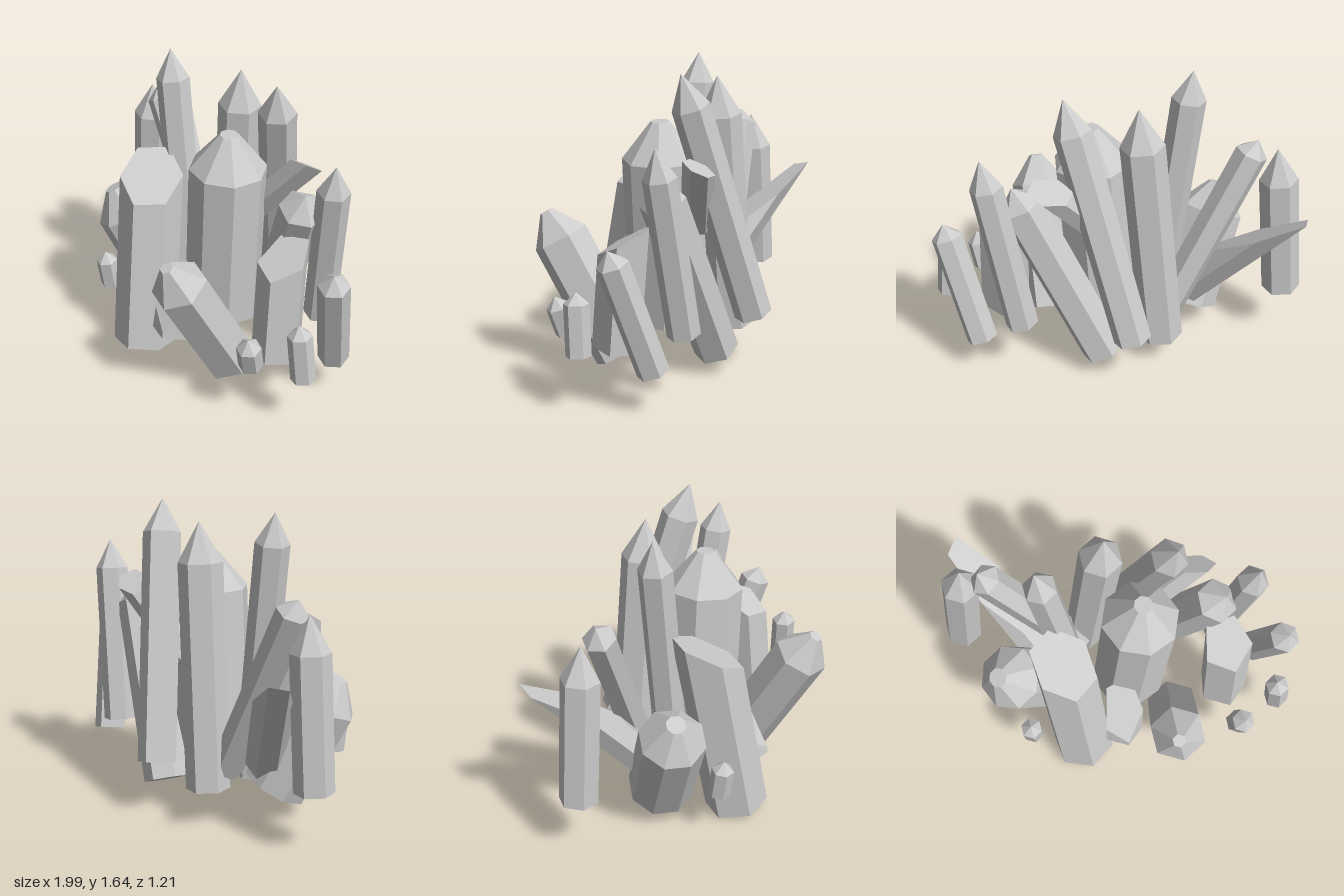
import * as THREE from 'three';

const UP = new THREE.Vector3(0, 1, 0);

// Turn that stands a crystal along its axis
const lean = (axis, spin) => new THREE.Quaternion()
  .setFromUnitVectors(UP, axis.clone().normalize())
  .multiply(new THREE.Quaternion().setFromAxisAngle(UP, spin));

// Prism shaft with a tapering tip; tip length and cap are proportions of the radius
function pointedGeometry(sides, r, length, tipRatio, capRatio) {
  const profile = [[0, 0], [r, 0], [r, length - r * tipRatio], [r * capRatio, length]];
  if (capRatio > 0) profile.push([0, length]);
  return new THREE.LatheGeometry(profile.map((p) => new THREE.Vector2(...p)), sides);
}

// Prism whose top corners slide along the axis onto a slanted plane
function cutGeometry(sides, r, length, n) {
  const geo = new THREE.CylinderGeometry(r, r, length, sides).translate(0, length / 2, 0);
  const p = geo.attributes.position;
  for (let i = 0; i < p.count; i++) {
    if (p.getY(i) > length / 2) p.setY(i, length - (n.x * p.getX(i) + n.z * p.getZ(i)) / n.y);
  }
  geo.computeVertexNormals();
  return geo;
}

export function createModel() {
  const group = new THREE.Group();
  group.name = 'crystalCluster';
  const material = new THREE.MeshStandardMaterial({ color: 0xcccccc, flatShading: true });

  const place = (name, geo, base, q) => {
    const mesh = new THREE.Mesh(geo, material);
    mesh.name = name;
    mesh.position.copy(base);
    mesh.quaternion.copy(q);
    group.add(mesh);
  };

  // Crystal from the centre of its base to its tip
  const pointed = (name, sides, r, from, to, tipRatio, capRatio) => {
    const base = new THREE.Vector3(...from);
    const axis = new THREE.Vector3(...to).sub(base);
    place(name, pointedGeometry(sides, r, axis.length(), tipRatio, capRatio), base, lean(axis, 0.25));
  };

  // Crystal ending in one slanted face, whose slope is given along x and z
  const cut = (name, sides, r, from, to, slopeX, slopeZ) => {
    const base = new THREE.Vector3(...from);
    const axis = new THREE.Vector3(...to).sub(base);
    const q = lean(axis, 0.35);
    const n = new THREE.Vector3(slopeX, 1, slopeZ).applyQuaternion(q.clone().invert());
    place(name, cutGeometry(sides, r, axis.length(), n), base, q);
  };

  // Thick crystals with a small flat cap
  pointed('centralCrystal', 8, 0.21, [0.06, 0.25, -0.047], [0.13, 1.35, -0.03], 0.95, 0.24);
  pointed('forwardCrystal', 6, 0.154, [0.325, 0.115, 0.12], [0.325, 0.86, 0.545], 1.05, 0.24);
  pointed('leftLeaningCrystal', 8, 0.18, [-0.41, 0.16, -0.05], [-0.65, 0.77, 0.165], 0.85, 0.3);

  // Slender crystals with sharp tips
  for (const [name, r, from, to] of [
    ['leftTallCrystal', 0.092, [-0.235, 0.18, -0.06], [-0.41, 1.64, -0.07]],
    ['middleTallCrystal', 0.118, [-0.195, 0.16, -0.34], [-0.07, 1.575, -0.28]],
    ['backTallCrystal', 0.102, [0.01, 0.3, -0.52], [0.3, 1.635, -0.2]],
    ['rightTallCrystal', 0.088, [0.57, 0.35, -0.31], [0.735, 1.345, -0.215]],
    ['leftOuterCrystal', 0.105, [-0.9, 0.33, -0.28], [-0.83, 1.225, -0.26]],
  ]) pointed(name, 6, r, from, to, 1.8, 0);

  // Leaning crystals and small loose ones, with short tips
  for (const [name, r, from, to] of [
    ['rightLeaningCrystal', 0.122, [0.13, 0.12, -0.35], [0.575, 1.125, -0.165]],
    ['rightOuterCrystal', 0.085, [0.78, 0.215, -0.22], [0.93, 0.87, -0.04]],
    ['leftBackCrystal', 0.09, [-0.24, 0.26, -0.25], [-0.73, 1.275, -0.23]],
    ['smallRightCrystal', 0.066, [0.91, 0.305, 0.125], [0.885, 0.63, 0.145]],
    ['smallFrontCrystal', 0.066, [0.68, 0.335, 0.28], [0.715, 0.53, 0.335]],
    ['smallLeftCrystal', 0.06, [-0.48, 0.28, 0.33], [-0.485, 0.49, 0.36]],
  ]) pointed(name, 6, r, from, to, 0.9, 0);

  // Crystals with slanted tops
  cut('frontCutCrystal', 6, 0.172, [-0.2, 0.03, 0.31], [-0.285, 1.0, 0.17], 0.4, 0.35);
  cut('rightCutCrystal', 5, 0.138, [0.605, 0.25, 0.03], [0.595, 0.83, -0.01], 0.05, 0.55);
  cut('backCutCrystal', 6, 0.085, [0.08, 0.8, -0.22], [0.4, 1.18, -0.33], -0.1, -0.6);
  cut('leftCutCrystal', 6, 0.105, [-0.4, 0.3, -0.12], [-0.71, 0.77, -0.38], 0.4, 0.5);
  cut('smallCutCrystal', 5, 0.115, [0.025, 0.19, 0.28], [0.03, 0.43, 0.24], 0.15, 1.3);

  return group;
}
